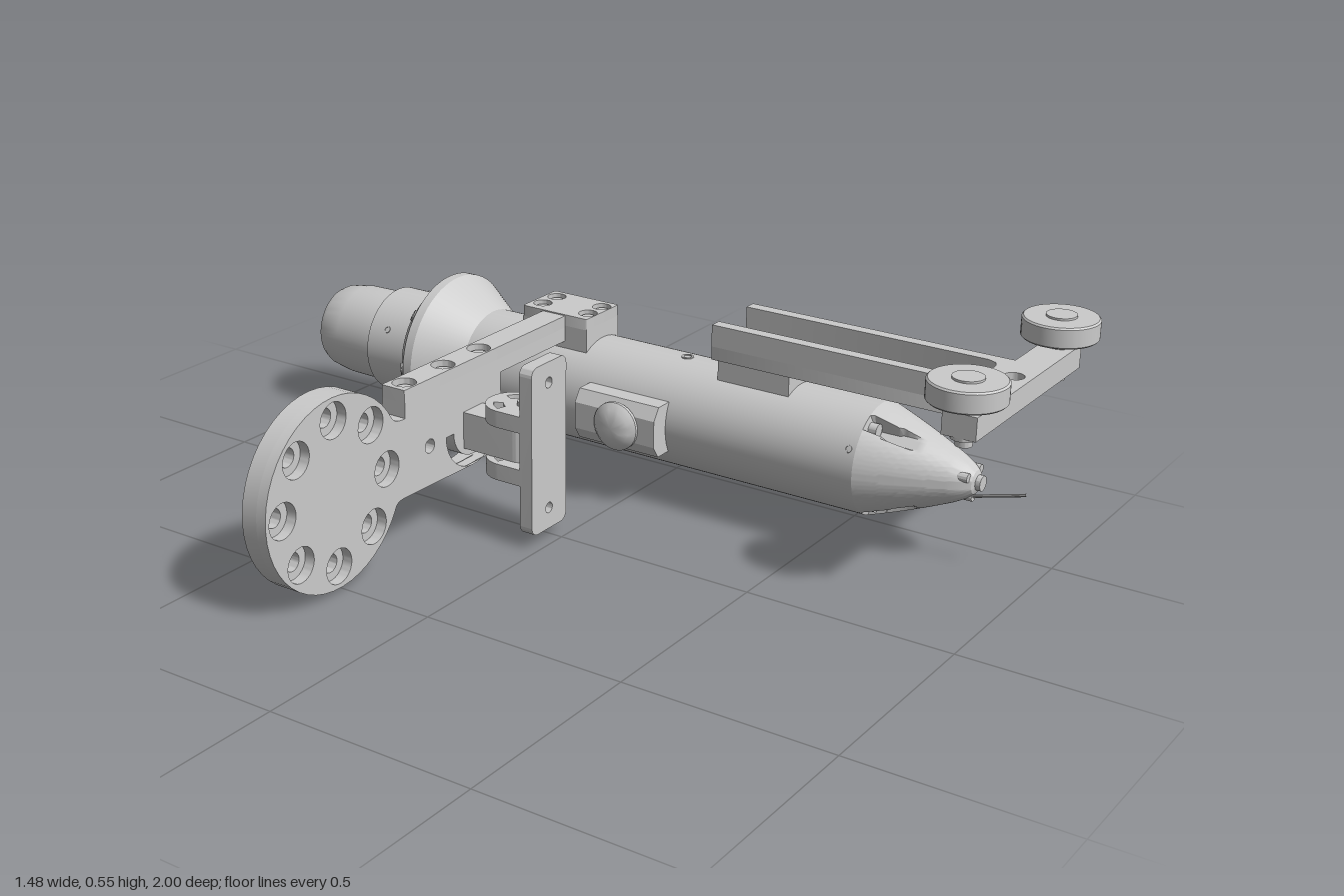
import * as THREE from 'three';
import { toCreasedNormals } from 'three/addons/utils/BufferGeometryUtils.js';

const material = new THREE.MeshStandardMaterial({ color: 0xcccccc });
const AX = 0.41, AY = 0.208;            // axis of the long tube
const ARM_Z = -0.262, ARM_T = 0.066;    // arm plate centre and thickness

export function createModel() {
  const root = new THREE.Group();

  const add = (name, geometry, x = 0, y = 0, z = 0, parent = root) => {
    const mesh = new THREE.Mesh(toCreasedNormals(geometry, 0.5), material);
    mesh.name = name;
    mesh.position.set(x, y, z);
    parent.add(mesh);
    return mesh;
  };
  const box = (name, x0, x1, y0, y1, z0, z1) =>
    add(name, new THREE.BoxGeometry(x1 - x0, y1 - y0, z1 - z0), (x0 + x1) / 2, (y0 + y1) / 2, (z0 + z1) / 2);
  const cyl = (name, r, h, x, y, z, n = 24) => add(name, new THREE.CylinderGeometry(r, r, h, n), x, y, z);
  const vecs = (pts) => pts.map(([a, b]) => new THREE.Vector2(a, b));
  const circle = (x, y, r) => new THREE.Path().absarc(x, y, r, 0, Math.PI * 2, true);
  const roundRect = (x0, x1, y0, y1, r) => {
    const s = new THREE.Shape();
    s.absarc(x1 - r, y0 + r, r, -Math.PI / 2, 0);
    s.absarc(x1 - r, y1 - r, r, 0, Math.PI / 2);
    s.absarc(x0 + r, y1 - r, r, Math.PI / 2, Math.PI);
    s.absarc(x0 + r, y0 + r, r, Math.PI, Math.PI * 1.5);
    s.closePath();
    return s;
  };
  const extrude = (shape, depth) =>
    new THREE.ExtrudeGeometry(shape, { depth, bevelEnabled: false, curveSegments: 20 });
  // Upright plate: drawn in x, y and thickened from z0
  const upright = (name, shape, z0, t) => add(name, extrude(shape, t), 0, 0, z0);
  // Level plate: drawn in x, -z and thickened upward from y0
  const level = (name, shape, y0, t) => add(name, extrude(shape, t).rotateX(-Math.PI / 2), 0, y0, 0);
  // Round detail on the tube, facing along its radius (tilt leans it along z)
  const onTube = (name, angle, r, z, size, tilt = 0, h = 0.008) => {
    const dir = new THREE.Vector3(Math.cos(angle) * Math.cos(tilt), Math.sin(angle) * Math.cos(tilt), Math.sin(tilt));
    const geo = new THREE.LatheGeometry(vecs([[0, 0], [size, 0], [size, h], [size * 0.65, h], [size * 0.65, h * 0.4], [0, h * 0.4]]), 16);
    const mesh = add(name, geo, AX + Math.cos(angle) * r, AY + Math.sin(angle) * r, z);
    mesh.quaternion.setFromUnitVectors(new THREE.Vector3(0, 1, 0), dir);
  };

  // Long tube with hollow rear socket and flared collar
  const tube = vecs([[0, -0.86], [0.062, -0.86], [0.062, -0.985], [0.075, -1], [0.1, -1], [0.108, -0.985],
    [0.117, -0.93], [0.119, -0.81], [0.135, -0.81], [0.135, -0.675], [0.16, -0.675], [0.205, -0.635],
    [0.205, -0.61], [0.135, -0.5], [0.135, 0.6]]);
  add('tubeBody', new THREE.LatheGeometry(tube, 64).rotateX(Math.PI / 2), AX, AY, 0);

  // Tapered nose with three flat-bottomed screw notches
  const notchAngles = [0, 1, 2].map((k) => 0.05 + (k * Math.PI * 2) / 3);
  const taper = [];
  for (let i = 0; i <= 24; i++) {
    const t = i / 24;
    taper.push([0.135 - 0.067 * t - 0.012 * t * t, 0.6 + 0.2 * t]);
  }
  taper.push([0.042, 0.825], [0.028, 0.842], [0.018, 0.846], [0.018, 0.858], [0, 0.858]);
  const nose = new THREE.LatheGeometry(vecs(taper), 144).rotateX(Math.PI / 2);
  const p = nose.attributes.position;
  for (let i = 0; i < p.count; i++) {
    const x = p.getX(i), y = p.getY(i), r = Math.hypot(x, y);
    if (p.getZ(i) < 0.605) continue;
    for (const a of notchAngles) {
      const along = x * Math.cos(a) + y * Math.sin(a);
      const across = -x * Math.sin(a) + y * Math.cos(a);
      if (along > 0.088 && Math.abs(across) < 0.02) {
        const k = 0.088 / along;
        p.setXY(i, x * k, y * k);
      }
    }
  }
  add('nose', nose, AX, AY, 0);
  for (const a of notchAngles) {
    const screw = cyl('noseScrew', 0.016, 0.02, AX + Math.cos(a) * 0.108, AY + Math.sin(a) * 0.108, 0.614, 16);
    screw.rotation.x = Math.PI / 2;
  }
  for (let k = 0; k < 3; k++) {
    const a = -Math.PI / 2 + (k * Math.PI * 2) / 3;
    const jet = cyl('noseTipPin', 0.011, 0.03, AX + Math.cos(a) * 0.038, AY + Math.sin(a) * 0.038, 0.822, 12);
    jet.rotation.x = Math.PI / 2;
  }
  // Slanted needle at the tip
  add('needle', new THREE.TubeGeometry(new THREE.LineCurve3(
    new THREE.Vector3(AX, 0.165, 0.81), new THREE.Vector3(AX, 0.206, 0.962)), 1, 0.004, 8));

  // Screws and ports on the tube
  for (let k = 0; k < 8; k++) onTube('collarScrew', (k * Math.PI) / 4 + Math.PI / 2, 0.18, -0.655, 0.015, -0.8, 0.005);
  for (let k = 0; k < 4; k++) onTube('rearTubeScrew', 1.05 + (k * Math.PI) / 2, 0.133, -0.755, 0.009, 0, 0.004);
  for (let k = 0; k < 5; k++) onTube('sidePort', 0, 0.132, -0.02 - k * 0.055, 0.013, 0, 0.005);
  for (const a of [0.45, Math.PI - 0.45]) onTube('frontPin', a, 0.132, 0.582, 0.009, 0, 0.005);
  onTube('topPort', Math.PI / 2, 0.132, 0.08, 0.015, 0, 0.005);

  // Side cap: chamfered pad with a domed button
  const pad = new THREE.Shape(vecs([[0.32, 0.145], [0.245, 0.145], [0.225, 0.175], [0.225, 0.241], [0.245, 0.271], [0.32, 0.271]]));
  upright('sidePad', pad, -0.12, 0.225);
  const dome = add('sideButton', new THREE.LatheGeometry(
    vecs([[0.06, 0], [0.06, 0.008], [0.045, 0.022], [0.025, 0.029], [0, 0.03]]), 32), 0.226, AY, 0);
  dome.rotation.z = Math.PI / 2;

  // Front rail: slotted floor under an open channel that ends in a crossbar
  box('railFoot', 0.35, 0.475, 0.325, 0.395, 0.2, 0.39);
  const floor = roundRect(0.318, 0.504, -0.81, -0.2, 0.002);
  floor.holes.push(roundRect(0.391, 0.431, -0.78, -0.215, 0.0199));
  level('railFloor', floor, 0.39, 0.032);
  const rail = new THREE.Shape(vecs([[0.318, -0.2], [0.318, -0.87], [0.14, -0.87], [0.14, -0.95], [0.682, -0.95],
    [0.682, -0.87], [0.504, -0.87], [0.504, -0.2], [0.474, -0.2], [0.474, -0.82], [0.465, -0.842], [0.445, -0.85],
    [0.377, -0.85], [0.357, -0.842], [0.348, -0.82], [0.348, -0.2]]));
  rail.holes.push(circle(AX, -0.91, 0.023));
  level('railAndCrossbar', rail, 0.42, 0.055);
  for (const z of [0.245, 0.33]) cyl('railScrew', 0.018, 0.02, AX, 0.402, z);
  box('slotStop', 0.392, 0.43, 0.385, 0.4, 0.21, 0.39);

  // Rollers at both crossbar ends
  for (const side of [-1, 1]) {
    const x = AX + side * 0.24;
    const roller = vecs([[0, 0.395], [0.019, 0.395], [0.019, 0.412], [0.03, 0.412], [0.03, 0.495], [0.084, 0.495],
      [0.088, 0.499], [0.088, 0.541], [0.084, 0.545], [0.035, 0.545], [0.035, 0.55], [0, 0.55]]);
    add('roller', new THREE.LatheGeometry(roller, 48), x, 0, 0.91);
  }

  // Arm: drilled disc, neck and plate in one outline
  const DX = -0.52, DY = 0.24, DR = 0.225;
  const armOutline = (holeR) => {
    const s = new THREE.Shape();
    s.absarc(DX, DY, DR, 0.52, Math.PI * 2 - 0.48);
    s.quadraticCurveTo(-0.315, 0.148, -0.29, 0.148);
    for (const [x, y] of [[0.075, 0.148], [0.075, 0.34], [0.345, 0.34], [0.345, 0.375], [-0.28, 0.375], [-0.28, 0.338]]) s.lineTo(x, y);
    s.quadraticCurveTo(-0.315, 0.338, DX + DR * Math.cos(0.52), DY + DR * Math.sin(0.52));
    for (let k = 0; k < 8; k++) {
      const a = (k * Math.PI) / 4;
      s.holes.push(circle(DX + 0.172 * Math.cos(a), DY + 0.172 * Math.sin(a), holeR));
    }
    s.holes.push(circle(-0.195, 0.243, 0.017));
    const slot = new THREE.Path();
    slot.absarc(-0.035, 0.243, 0.1, Math.PI, Math.PI * 1.85);
    slot.absarc(-0.035, 0.243, 0.072, Math.PI * 1.85, Math.PI, true);
    slot.closePath();
    s.holes.push(slot);
    return s;
  };
  const z0 = ARM_Z - ARM_T / 2;
  upright('armBack', armOutline(0.022), z0, 0.04);
  upright('armFront', armOutline(0.042), z0 + 0.04, ARM_T - 0.04);
  const strip = roundRect(-0.28, 0.345, -ARM_Z - ARM_T / 2, -ARM_Z + ARM_T / 2, 0.002);
  for (const x of [-0.24, -0.1, 0.035]) {
    strip.holes.push(circle(x, -ARM_Z, 0.028));
    cyl('armTopScrew', 0.02, 0.02, x, 0.383, ARM_Z);
  }
  level('armTopStrip', strip, 0.375, 0.03);

  // Clamp joining the arm to the tube
  const clamp = roundRect(0.338, 0.475, 0.165, 0.355, 0.004);
  for (const x of [0.38, 0.44]) for (const z of [-0.325, -0.19]) {
    clamp.holes.push(circle(x, -z, 0.023));
    cyl('clampScrew', 0.016, 0.03, x, 0.385, z);
  }
  level('clampTop', clamp, 0.38, 0.028);
  box('clampBase', 0.338, 0.475, 0.315, 0.381, -0.355, -0.165);

  // Hinged bracket in front of the arm
  const BX = -0.033;
  const face = roundRect(-0.1, 0.035, 0.035, 0.445, 0.022);
  face.holes.push(circle(BX, 0.395, 0.013), circle(BX, 0.087, 0.013));
  upright('bracketPlate', face, -0.046, 0.034);
  for (const y of [0.155, 0.285]) {
    const lug = new THREE.Shape();
    lug.moveTo(-0.1, 0.04);
    lug.lineTo(0.035, 0.04);
    lug.absarc(BX, 0.108, 0.0675, 0, Math.PI);
    lug.closePath();
    lug.holes.push(circle(BX, 0.085, 0.014));
    for (const side of [0, 1]) {
      const a = side ? 2.05 : 0.35, slot = new THREE.Path();
      slot.absarc(BX, 0.1, 0.055, a, a + 0.75);
      slot.absarc(BX, 0.1, 0.032, a + 0.75, a, true);
      slot.closePath();
      lug.holes.push(slot);
    }
    level('hingeLug', lug, y, 0.04);
  }
  const tongue = new THREE.Shape();
  tongue.absarc(BX, 0.09, 0.037, Math.PI, Math.PI * 2);
  tongue.lineTo(BX + 0.037, 0.235);
  tongue.lineTo(BX - 0.037, 0.235);
  tongue.closePath();
  level('hingeTongue', tongue, 0.195, 0.09);
  cyl('hingePin', 0.0135, 0.19, BX, 0.24, -0.085);

  return root;
}
